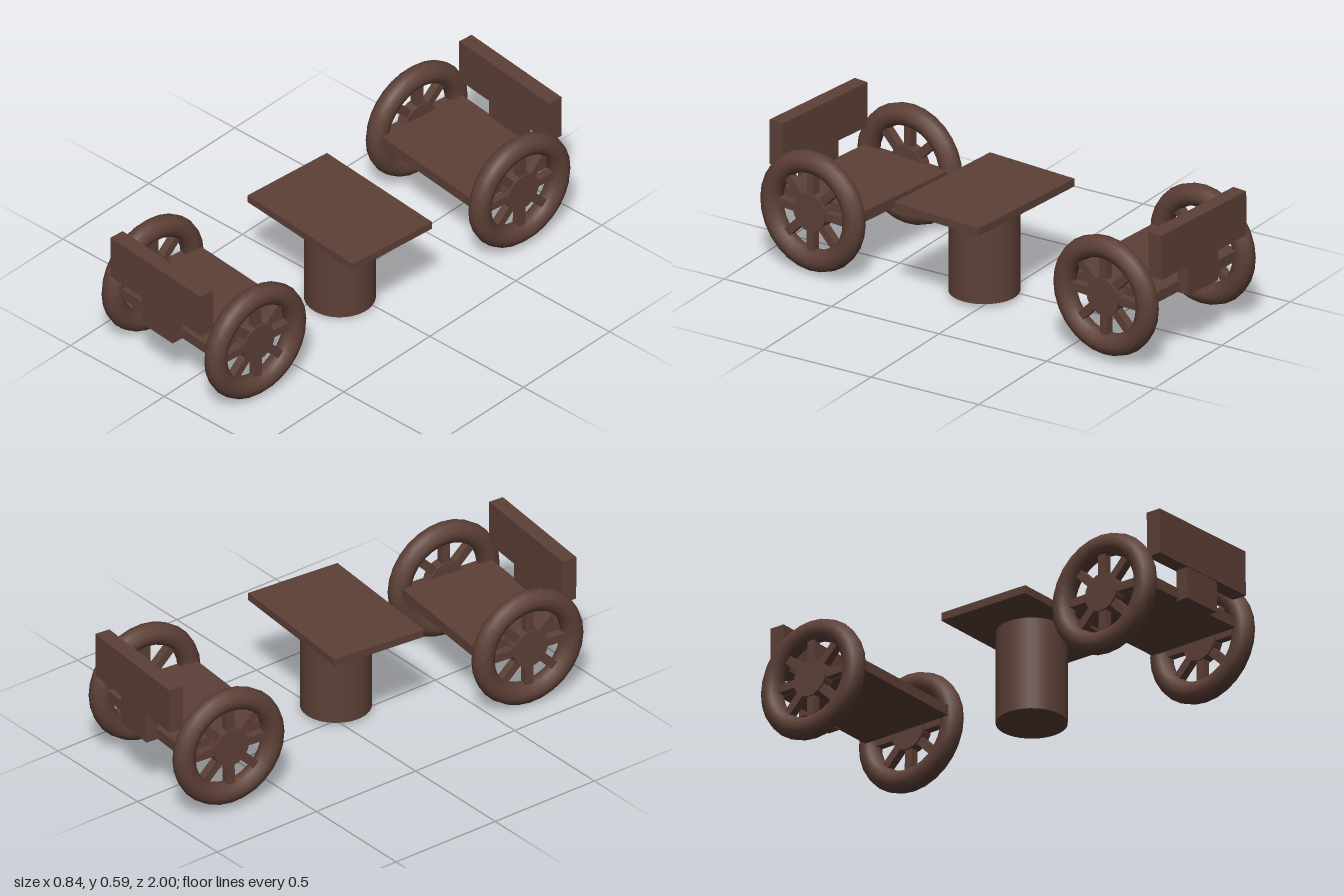
import * as THREE from 'three';

const brown = new THREE.MeshStandardMaterial({ color: 0x5d4037 });
brown.name = 'dark brown';

function add(parent, name, geometry, x = 0, y = 0, z = 0) {
  const mesh = new THREE.Mesh(geometry, brown);
  mesh.name = name;
  mesh.position.set(x, y, z);
  parent.add(mesh);
  return mesh;
}

// Spoked wheel with its axle along x
function makeWheel(name) {
  const wheel = new THREE.Group();
  wheel.name = name;
  add(wheel, 'tyre', new THREE.TorusGeometry(0.207, 0.046, 12, 28).rotateY(Math.PI / 2));
  add(wheel, 'hub', new THREE.CylinderGeometry(0.08, 0.08, 0.05, 20).rotateZ(Math.PI / 2));
  for (let i = 0; i < 8; i++) {
    const spoke = new THREE.BoxGeometry(0.035, 0.12, 0.035).translate(0, 0.125, 0);
    add(wheel, 'spoke', spoke).rotation.x = (i * Math.PI) / 4;
  }
  return wheel;
}

// Wheeled chair, backrest towards local +z, origin at the axle
function makeChair(name) {
  const chair = new THREE.Group();
  chair.name = name;
  add(chair, 'seat', new THREE.BoxGeometry(0.53, 0.045, 0.42), 0, 0.018, -0.01);
  add(chair, 'backPost', new THREE.BoxGeometry(0.185, 0.132, 0.055), 0, 0.054, 0.218);
  add(chair, 'backrest', new THREE.BoxGeometry(0.537, 0.19, 0.065), 0, 0.215, 0.218);
  for (const side of [1, -1]) {
    const wheel = makeWheel(side > 0 ? 'leftWheel' : 'rightWheel');
    wheel.position.x = side * 0.306;
    chair.add(wheel);
  }
  return chair;
}

export function createModel() {
  const model = new THREE.Group();
  model.name = 'tableWithWheeledChairs';

  // Table
  const table = new THREE.Group();
  table.name = 'table';
  table.position.set(0.074, 0, 0.059);
  table.rotation.y = -0.094;
  add(table, 'tableTop', new THREE.BoxGeometry(0.617, 0.033, 0.42), 0, 0.428, 0);
  add(table, 'pedestal', new THREE.CylinderGeometry(0.142, 0.142, 0.396, 32), 0, 0.216, 0);
  model.add(table);

  // Two chairs facing the table, slightly turned and leaning
  const front = makeChair('frontChair');
  front.position.set(-0.053, 0.258, 0.711);
  front.rotation.set(0, -0.108, 0.013);
  const rear = makeChair('rearChair');
  rear.position.set(0.047, 0.278, -0.716);
  rear.rotation.set(0, Math.PI - 0.108, 0.015);
  model.add(front, rear);

  return model;
}
